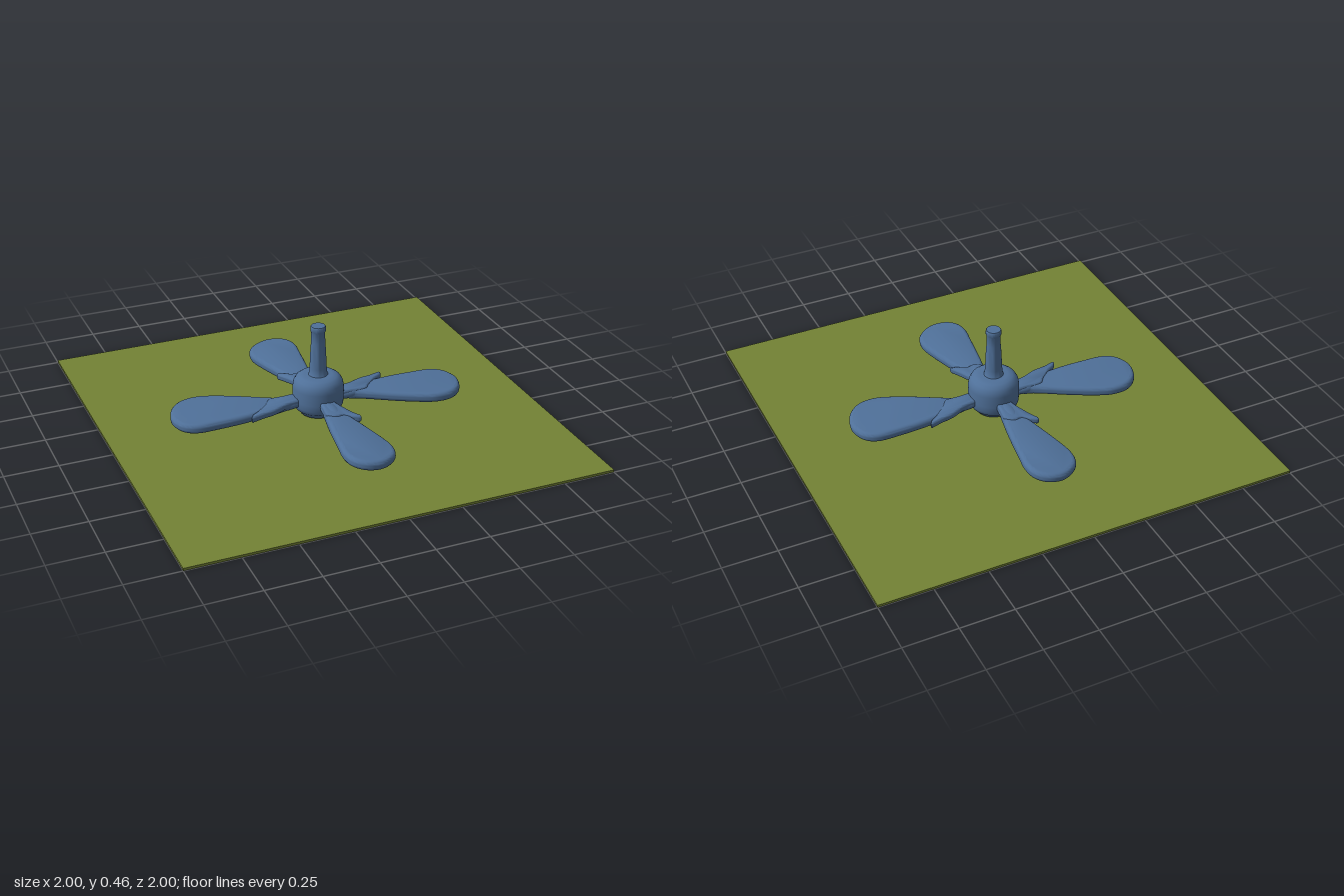
import * as THREE from 'three';
import { toCreasedNormals } from 'three/addons/utils/BufferGeometryUtils.js';

const blue = new THREE.MeshStandardMaterial({ color: 0x4f7099 });
blue.name = 'fan blue';
const green = new THREE.MeshStandardMaterial({ color: 0x738235 });
green.name = 'panel green';

function mesh(name, geometry, material) {
  const m = new THREE.Mesh(geometry, material);
  m.name = name;
  return m;
}

const vectors = (points) => points.map(([a, b]) => new THREE.Vector2(a, b));

// Rounded slab lying flat, centred on y = 0; points are [outward, sideways]
function slab(points, thickness, bevel, segments) {
  const flat = vectors(points.map(([u, v]) => [u, -v]));
  const shape = new THREE.Shape().moveTo(flat[0].x, flat[0].y);
  shape.splineThru([...flat.slice(1), flat[0]]);
  const geometry = new THREE.ExtrudeGeometry(shape, {
    depth: thickness - 2 * bevel, curveSegments: segments, bevelEnabled: true,
    bevelThickness: bevel, bevelSize: bevel, bevelOffset: -bevel, bevelSegments: 4,
  });
  geometry.translate(0, 0, bevel - thickness / 2);
  geometry.rotateX(-Math.PI / 2);
  return toCreasedNormals(geometry, 0.65);
}

// Wide blades lean to one side, narrow blades are nearly symmetrical
const wide = [
  [0.14, -0.03], [0.25, -0.048], [0.38, -0.063], [0.50, -0.066], [0.60, -0.062], [0.66, -0.03],
  [0.69, 0.03], [0.69, 0.09], [0.66, 0.16], [0.60, 0.206], [0.52, 0.212], [0.44, 0.185],
  [0.34, 0.135], [0.25, 0.083], [0.18, 0.045], [0.14, 0.03],
];
const narrow = [
  [0.14, -0.03], [0.22, -0.055], [0.32, -0.085], [0.45, -0.12], [0.54, -0.135], [0.61, -0.117],
  [0.655, -0.065], [0.67, -0.01], [0.655, 0.05], [0.61, 0.093], [0.54, 0.106], [0.45, 0.093],
  [0.32, 0.073], [0.22, 0.053], [0.14, 0.03],
];
const wideBracket = [
  [0.10, -0.035], [0.17, -0.045], [0.24, -0.074], [0.30, -0.085], [0.36, -0.098], [0.352, -0.075],
  [0.31, -0.045], [0.26, 0.0], [0.23, 0.035], [0.17, 0.035], [0.10, 0.03],
];
const narrowBracket = [
  [0.10, -0.035], [0.15, -0.05], [0.21, -0.075], [0.27, -0.102], [0.262, -0.07],
  [0.235, -0.03], [0.24, 0.01], [0.21, 0.045], [0.15, 0.04], [0.10, 0.03],
];

function createBlade(name, outline, bracketOutline, twist) {
  const blade = new THREE.Group();
  blade.name = name;
  const tilted = new THREE.Group();
  tilted.name = 'bladeTilt';
  tilted.rotation.set(-twist, 0, -0.022);
  tilted.add(mesh('paddle', slab(outline, 0.048, 0.02, 5), blue));

  // Bracket joining the paddle to the motor
  const bracket = mesh('bracket', slab(bracketOutline, 0.034, 0.011, 5), blue);
  bracket.position.y = 0.014;
  tilted.add(bracket);

  // Swollen root of the arm
  const root = mesh('armRoot', new THREE.SphereGeometry(1, 24, 16), blue);
  root.scale.set(0.10, 0.03, 0.042);
  root.position.set(0.16, 0.005, 0);
  tilted.add(root);
  blade.add(tilted);
  return blade;
}

export function createModel() {
  const model = new THREE.Group();
  model.name = 'ceilingFan';

  // Flat square panel
  const panel = mesh('panel', new THREE.BoxGeometry(2, 0.012, 2), green);
  panel.position.y = 0.006;
  model.add(panel);

  // Motor housing with rounded shoulder and narrower foot
  const housing = new THREE.LatheGeometry(vectors([
    [0, 0.013], [0.07, 0.013], [0.085, 0.022], [0.092, 0.035], [0.108, 0.048], [0.118, 0.07],
    [0.12, 0.10], [0.12, 0.155], [0.116, 0.178], [0.105, 0.197], [0.088, 0.209], [0.065, 0.214], [0, 0.214],
  ]), 48);
  model.add(mesh('motorHousing', housing, blue));

  // Flared down rod
  const rod = new THREE.LatheGeometry(vectors([
    [0.050, 0.208], [0.043, 0.218], [0.040, 0.25], [0.036, 0.34], [0.033, 0.38], [0.032, 0.43],
    [0.036, 0.438], [0.036, 0.456], [0.033, 0.461], [0, 0.461],
  ]), 32);
  model.add(mesh('downRod', toCreasedNormals(rod, 0.6), blue));

  // Four blades, alternating wide and narrow
  ['left', 'front', 'right', 'back'].forEach((side, i) => {
    const isWide = i % 2 === 0;
    const blade = createBlade(side + 'Blade', isWide ? wide : narrow,
      isWide ? wideBracket : narrowBracket, isWide ? 0.02 : 0.07);
    blade.rotation.y = -i * Math.PI / 2;
    blade.position.y = 0.088;
    if (side === 'right') blade.scale.x = 1.012;
    model.add(blade);
  });

  return model;
}
